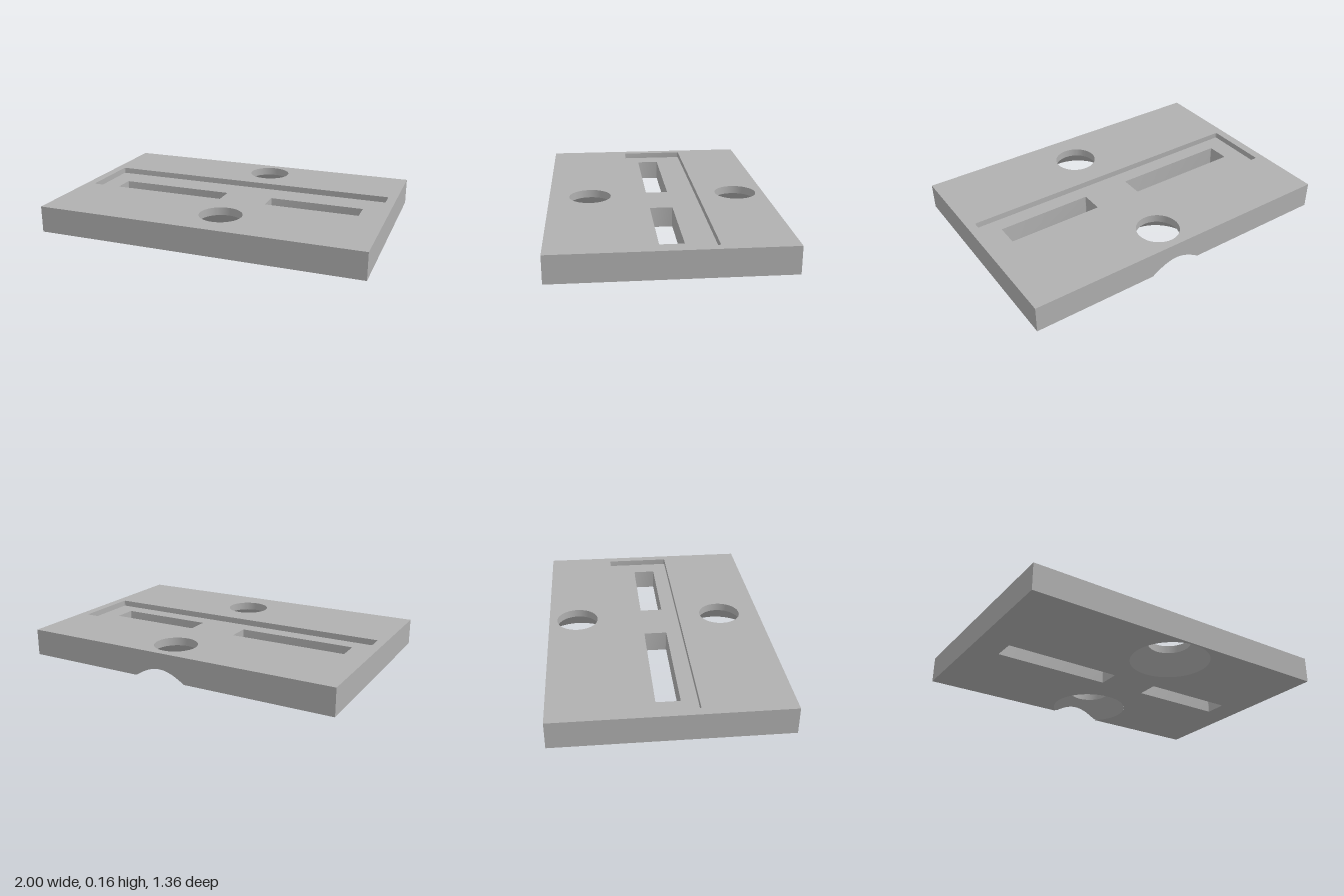
import * as THREE from 'three';
import { toCreasedNormals } from 'three/addons/utils/BufferGeometryUtils.js';

const W = 1, D = 0.68, H = 0.163;          // half width, half depth, height
const FLOOR = 0.126;                       // height of the recess floor
const BORE = 0.13, SINK = 0.244;           // bore and countersink radii
const CONE = SINK - BORE;                  // 45 degree countersink depth
const HOLE_X = 0.075, BACK_Z = -0.5, FRONT_Z = 0.425;
const EDGE = D + BACK_Z;                   // back hole axis to back face
const SEG = 72;

// Plan loops use (x, -z) and run anticlockwise seen from above.
const V = (x, y) => new THREE.Vector2(x, y);

function roundedLoop(x0, x1, z0, z1, r = 0.01) {
  const pts = [];
  const corners = [[x1 - r, -z0 - r], [x0 + r, -z0 - r], [x0 + r, -z1 + r], [x1 - r, -z1 + r]];
  corners.forEach(([x, y], q) => {
    for (let i = 0; i <= 3; i++) {
      const a = (q + i / 3) * Math.PI / 2;
      pts.push(V(x + r * Math.cos(a), y + r * Math.sin(a)));
    }
  });
  return pts;
}

function circleLoop(z, r) {
  return Array.from({ length: SEG }, (_, i) => {
    const a = i / SEG * Math.PI * 2;
    return V(HOLE_X + r * Math.cos(a), -z + r * Math.sin(a));
  });
}

const at = (loop, y) => loop.map(p => new THREE.Vector3(p.x, y, -p.y));

// Band between two rows of points, facing outward for anticlockwise rows
function ribbon(low, high, closed = true) {
  const pos = [];
  const n = low.length;
  for (let i = 0; i < (closed ? n : n - 1); i++) {
    const j = (i + 1) % n;
    for (const p of [low[i], low[j], high[j], low[i], high[j], high[i]]) pos.push(p.x, p.y, p.z);
  }
  const geo = new THREE.BufferGeometry();
  geo.setAttribute('position', new THREE.Float32BufferAttribute(pos, 3));
  geo.computeVertexNormals();
  return toCreasedNormals(geo, 0.4);
}

const innerWall = (low, high) => ribbon([...low].reverse(), [...high].reverse());

// Flat horizontal face with openings
function face(outline, holes, y, down = false) {
  const shape = new THREE.Shape(outline);
  shape.holes = holes.map(h => new THREE.Path(h));
  const geo = new THREE.ShapeGeometry(shape);
  geo.rotateX(-Math.PI / 2);
  geo.translate(0, y, 0);
  if (down) {
    geo.index.array.reverse();
    geo.computeVertexNormals();
  }
  return geo;
}

export function createModel() {
  const group = new THREE.Group();
  const grey = new THREE.MeshStandardMaterial({ color: 0xb0b0b0 });
  grey.name = 'plain grey';
  const add = (name, geo) => {
    const mesh = new THREE.Mesh(geo, grey);
    mesh.name = name;
    group.add(mesh);
  };

  const plate = [V(-W, -D), V(W, -D), V(W, D), V(-W, D)];
  const recess = roundedLoop(-0.945, 0.945, -0.255, 0.155);
  const slots = [roundedLoop(-0.82, -0.08, -0.08, 0.06, 0.005), roundedLoop(0.225, 0.82, -0.08, 0.06, 0.005)];
  const bores = [BACK_Z, FRONT_Z].map(z => circleLoop(z, BORE));

  // Where the back countersink breaks through the back face
  const half = Math.sqrt(SINK * SINK - EDGE * EDGE);
  const openAngle = Math.acos(EDGE / SINK);
  const notchRim = [];
  for (let i = 0; i <= SEG; i++) {
    const a = Math.PI / 2 - openAngle - i / SEG * (Math.PI * 2 - 2 * openAngle);
    notchRim.push(V(HOLE_X + SINK * Math.cos(a), -BACK_Z + SINK * Math.sin(a)));
  }

  // Top, recess floor and underside
  add('topFace', face(plate, [recess, ...bores], H));
  add('recessFloor', face(recess, slots, FLOOR));
  const underside = [plate[0], plate[1], plate[2], ...notchRim, plate[3]];
  add('underside', face(underside, [circleLoop(FRONT_Z, SINK), ...slots], 0, true));

  // Left, front and right sides
  const sides = [plate[3], plate[0], plate[1], plate[2]];
  add('sideWalls', ribbon(at(sides, 0), at(sides, H), false));

  // Back side with its curved notch
  const back = [V(-W, 0)];
  for (let i = 0; i <= 24; i++) {
    const x = -half + 2 * half * i / 24;
    back.push(V(x - HOLE_X, SINK - Math.hypot(x, EDGE)));
  }
  back.push(V(W, 0), V(W, H), V(-W, H));
  const backGeo = new THREE.ShapeGeometry(new THREE.Shape(back));
  backGeo.rotateY(Math.PI);
  backGeo.translate(0, 0, -D);
  add('backWall', backGeo);

  // Recess and slot walls
  add('recessWall', innerWall(at(recess, FLOOR), at(recess, H)));
  slots.forEach(s => add('slotWall', innerWall(at(s, 0), at(s, FLOOR))));

  // Straight bores and countersinks, trimmed at the back face
  [BACK_Z, FRONT_Z].forEach((z, k) => {
    const top = at(bores[k], CONE);
    add('boreWall', innerWall(top, at(bores[k], H)));
    const rim = top.map((p, i) => {
      const a = i / SEG * Math.PI * 2;
      const reach = Math.sin(a) > 0 ? (D + z) / Math.sin(a) : Infinity;
      const r = Math.min(SINK, reach);
      return new THREE.Vector3(HOLE_X + r * Math.cos(a), SINK - r, z - r * Math.sin(a));
    });
    add('countersink', innerWall(rim, top));
  });
  return group;
}
